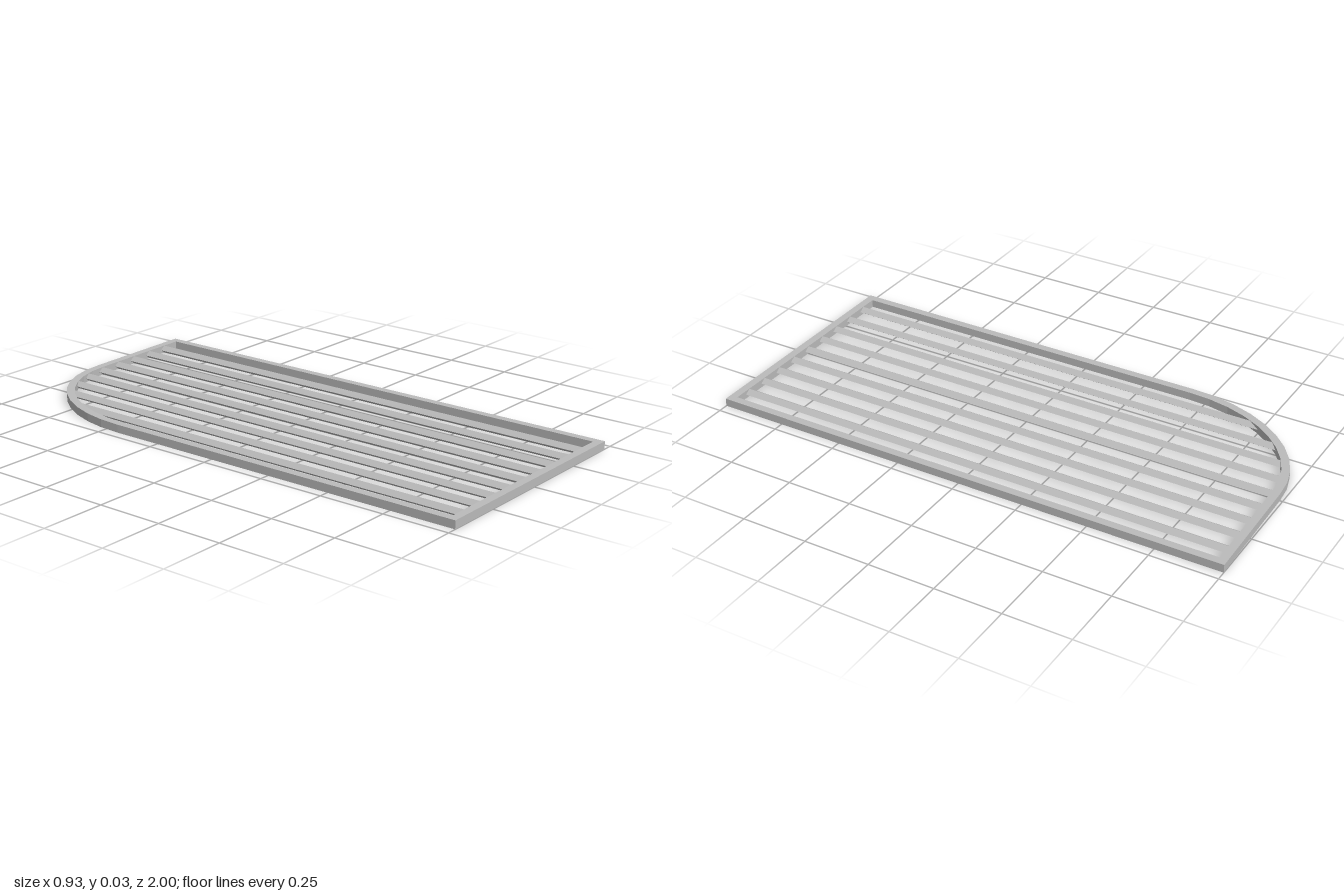
import * as THREE from 'three';

const HEIGHT = 0.03, LEFT = -0.464, RIGHT = 0.462, RAIL = 0.03;
const ARC_Z = -0.44, ARC_TOP = -0.99, ARC_STEPS = 10;

// Outline of the panel, inset by d, drawn in (x, -z), with one rounded back corner
function outline(d) {
  const pts = [[LEFT + d, -1 + d], [RIGHT - d, -1 + d], [RIGHT - d, 1 - d]];
  const rx = -LEFT - d, rz = ARC_Z - ARC_TOP - d;
  for (let i = 0; i <= ARC_STEPS; i++) {
    const a = Math.PI / 2 * (1 + i / ARC_STEPS);
    pts.push([rx * Math.cos(a), -ARC_Z + rz * Math.sin(a)]);
  }
  return pts.map(([x, y]) => new THREE.Vector2(x, y));
}

// z of the middle of the back rail at a given x
function backZ(x) {
  const d = RAIL / 2;
  if (x >= 0) return ARC_TOP + d - 0.01 * x / RIGHT;
  const t = x / (LEFT + d);
  return ARC_Z - (ARC_Z - ARC_TOP - d) * Math.sqrt(Math.max(0, 1 - t * t));
}

// Diamond-section bar whose back end follows the rail
function barGeometry(x) {
  let g = new THREE.CylinderGeometry(1, 1, 1, 4, 1);
  g.rotateX(Math.PI / 2);
  g.scale(0.021, HEIGHT / 2 - 0.0005, 1);
  g.translate(x, HEIGHT / 2, 0);
  g = g.toNonIndexed();
  const p = g.attributes.position;
  for (let i = 0; i < p.count; i++) {
    p.setZ(i, p.getZ(i) > 0 ? 0.98 : backZ(p.getX(i)));
  }
  g.computeVertexNormals();
  return g;
}

export function createModel() {
  const group = new THREE.Group();
  group.name = 'barredPanel';
  const metal = new THREE.MeshStandardMaterial({ color: 0xbbbbbb });
  metal.name = 'grey metal';

  // Surrounding frame
  const shape = new THREE.Shape(outline(0));
  shape.holes.push(new THREE.Path(outline(RAIL)));
  const frameGeo = new THREE.ExtrudeGeometry(shape, { depth: HEIGHT, bevelEnabled: false });
  frameGeo.rotateX(-Math.PI / 2);
  const frame = new THREE.Mesh(frameGeo, metal);
  frame.name = 'frame';
  group.add(frame);

  // Nine parallel bars
  for (let i = 0; i < 9; i++) {
    const bar = new THREE.Mesh(barGeometry(-0.37 + i * 0.0914), metal);
    bar.name = `bar${i + 1}`;
    group.add(bar);
  }
  return group;
}
